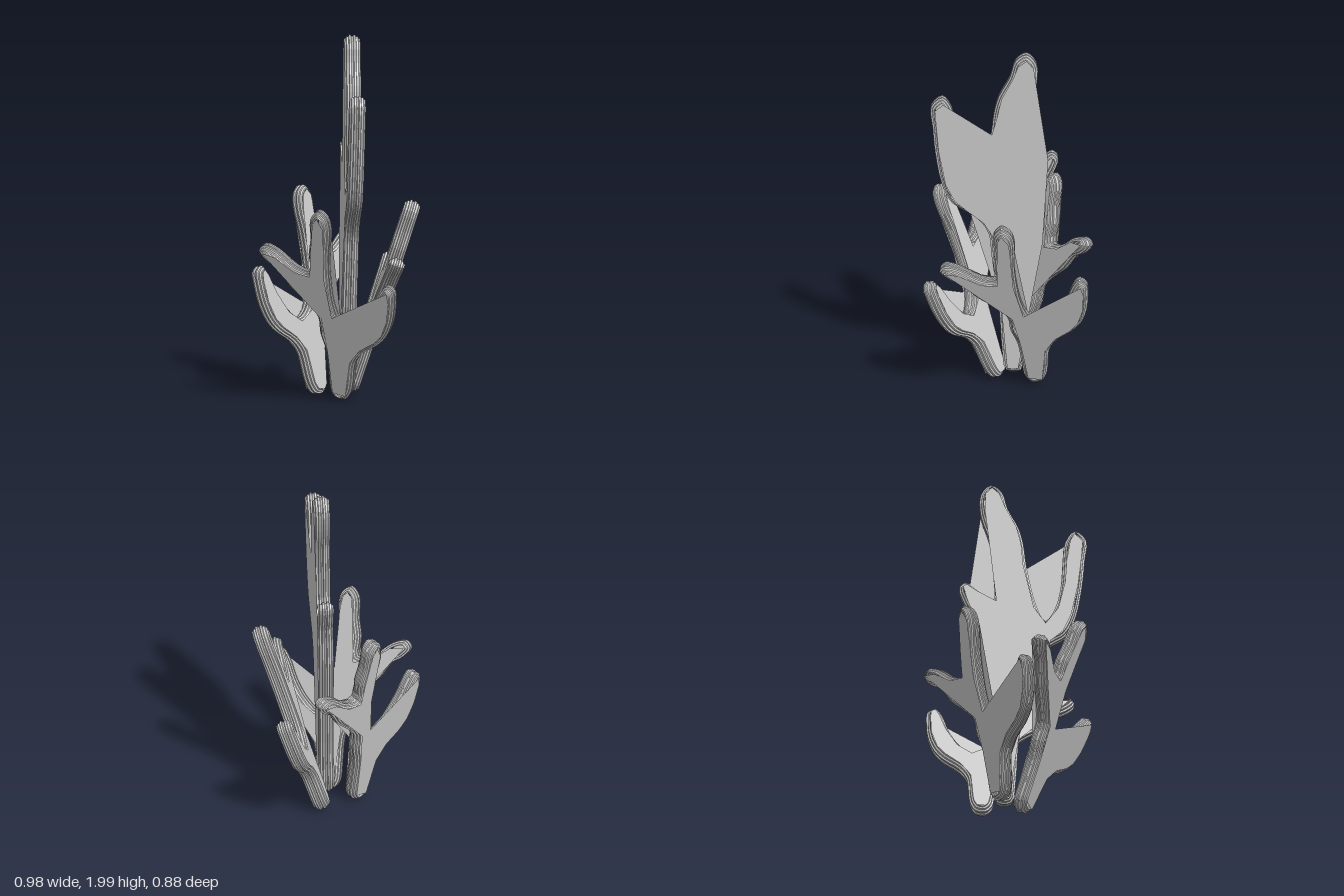
import * as THREE from 'three';

const V = (a) => new THREE.Vector3(...a);
const material = new THREE.MeshStandardMaterial({ color: 0xcccccc, flatShading: true, side: THREE.DoubleSide });

// Stepped edge section: [inset from outline, position through the thickness]
const half = [[-0.022, 0.044], [-0.019, 0.036], [-0.01, 0.032], [-0.009, 0.021], [0, 0.018], [0, 0.008], [-0.006, 0.004]];
const edgeSection = [...half.map(([o, d]) => [o, -d]), ...half.slice().reverse()];
const faceDepth = half[0][1];

// Outlines run anticlockwise from the left tip, measured from the root;
// the outer and inner faces are simpler polygons that cut across some hollows
const branch = {
  outline: [
    [-0.365, 0.885], [-0.4, 0.85], [-0.36, 0.79], [-0.3, 0.745], [-0.24, 0.645], [-0.16, 0.56], [-0.095, 0.47],
    [-0.095, 0.37], [-0.075, 0.27], [-0.08, 0.1], [-0.08, 0.02], [-0.05, -0.025], [0.005, -0.025], [0.04, 0.02],
    [0.06, 0.08], [0.09, 0.2], [0.145, 0.265], [0.24, 0.32], [0.3, 0.376], [0.35, 0.47], [0.378, 0.585],
    [0.382, 0.65], [0.343, 0.685], [0.3, 0.64], [0.245, 0.535], [0.17, 0.44], [0.09, 0.39], [0.025, 0.45],
    [0, 0.55], [0, 0.7], [0.015, 0.85], [0.045, 1.0], [0.035, 1.08], [-0.01, 1.118], [-0.06, 1.07],
    [-0.075, 0.95], [-0.1, 0.85], [-0.105, 0.745], [-0.19, 0.765], [-0.29, 0.855],
  ],
  outer: [
    [-0.375, 0.85], [-0.065, 0.47], [-0.055, 0.27], [-0.06, 0.02], [0.015, 0], [0.07, 0.21], [0.14, 0.29],
    [0.23, 0.34], [0.285, 0.39], [0.33, 0.48], [0.357, 0.595], [0.352, 0.655], [0, 0.48], [-0.015, 0.7],
    [0.02, 1.02], [-0.01, 1.09], [-0.04, 1.05], [-0.08, 0.85], [-0.1, 0.725], [-0.19, 0.745], [-0.3, 0.83],
  ],
  inner: [
    [-0.375, 0.85], [-0.07, 0.4], [-0.06, 0.02], [-0.045, -0.005], [0, -0.005], [0.025, 0.03], [0.07, 0.21],
    [0.14, 0.285], [0.23, 0.34], [0.285, 0.39], [0.33, 0.48], [0.357, 0.595], [0.36, 0.645], [0.34, 0.66],
    [0.315, 0.63], [0.26, 0.525], [0.18, 0.42], [0.09, 0.37], [0.01, 0.43], [0.025, 1.0], [0.015, 1.07],
    [-0.01, 1.093], [-0.04, 1.06], [-0.055, 0.95], [-0.09, 0.71], [-0.19, 0.745], [-0.29, 0.83],
  ],
};
const tall = {
  outline: [
    [-0.413, 1.67], [-0.475, 1.615], [-0.465, 1.49], [-0.45, 1.34], [-0.41, 1.14], [-0.355, 1.03], [-0.28, 0.98],
    [-0.2, 0.92], [-0.15, 0.84], [-0.135, 0.72], [-0.11, 0.54], [-0.085, 0.34], [-0.07, 0.14], [-0.045, 0.01],
    [0.035, 0.01], [0.075, 0.35], [0.125, 0.7], [0.155, 0.9], [0.165, 1.14], [0.2, 1.22], [0.225, 1.31],
    [0.19, 1.345], [0.14, 1.31], [0.04, 1.24], [0.035, 1.4], [0.055, 1.6], [0.1, 1.75], [0.1, 1.88],
    [0.045, 1.94], [-0.015, 1.9], [-0.045, 1.8], [-0.105, 1.68], [-0.13, 1.58], [-0.145, 1.45], [-0.2, 1.2],
    [-0.245, 1.12], [-0.3, 1.2], [-0.335, 1.35], [-0.345, 1.48], [-0.36, 1.6],
  ],
  outer: [
    [-0.41, 1.64], [-0.455, 1.6], [-0.43, 1.35], [-0.39, 1.15], [-0.34, 1.05], [-0.27, 0.99], [-0.18, 0.92],
    [-0.13, 0.84], [-0.115, 0.74], [-0.09, 0.54], [-0.04, 0.03], [0.02, 0.03], [0.145, 0.8], [0.17, 1.31],
    [0.085, 1.87], [0.045, 1.915], [0, 1.88], [-0.03, 1.8], [-0.09, 1.68], [-0.11, 1.58], [-0.14, 1.46],
  ],
  inner: [
    [-0.41, 1.645], [-0.455, 1.6], [-0.445, 1.49], [-0.425, 1.33], [-0.385, 1.15], [-0.34, 1.05], [-0.27, 0.99],
    [-0.09, 0.4], [-0.03, 0.03], [0.02, 0.03], [0.14, 0.85], [0.155, 1.15], [0.185, 1.23], [0.205, 1.31],
    [0.185, 1.325], [0.14, 1.29], [0.025, 1.225], [0.08, 1.78], [0.075, 1.88], [0.04, 1.915], [0, 1.88],
    [-0.03, 1.8], [-0.09, 1.68], [-0.115, 1.58], [-0.125, 1.45], [-0.18, 1.19], [-0.245, 1.095],
    [-0.315, 1.19], [-0.355, 1.35], [-0.365, 1.48], [-0.385, 1.6],
  ],
};

// Flat sheet through a list of points
function sheet(points, depth) {
  const shape = new THREE.Shape(points.map(([x, y]) => new THREE.Vector2(x, y)));
  return new THREE.ShapeGeometry(shape).translate(0, 0, depth);
}

// Smooth outline swept through the stepped section
function wall(outline) {
  const curve = new THREE.CatmullRomCurve3(outline.map(([x, y]) => new THREE.Vector3(x, y, 0)), true, 'centripetal');
  const points = curve.getPoints(120).slice(0, -1);
  const n = points.length;
  const normals = points.map((p, i) => {
    const t = points[(i + 1) % n].clone().sub(points[(i + n - 1) % n]).normalize();
    return new THREE.Vector3(t.y, -t.x, 0);
  });
  const pos = [], index = [];
  edgeSection.forEach(([offset, depth], k) => {
    points.forEach((p, i) => {
      pos.push(p.x + normals[i].x * offset, p.y + normals[i].y * offset, depth);
      if (k === 0) return;
      const j = (i + 1) % n, a = (k - 1) * n, b = k * n;
      index.push(a + i, a + j, b + j, a + i, b + j, b + i);
    });
  });
  const geo = new THREE.BufferGeometry();
  geo.setAttribute('position', new THREE.Float32BufferAttribute(pos, 3));
  geo.setIndex(index);
  geo.computeVertexNormals();
  return geo;
}

// One plate, placed by its root, a point above it, and its left and right tips
function plate(name, { outline, outer, inner }, [root, top, left, right]) {
  const group = new THREE.Group();
  group.name = name;
  const add = (part, geometry) => {
    const mesh = new THREE.Mesh(geometry, material);
    mesh.name = part;
    group.add(mesh);
  };
  add('steppedEdge', wall(outline));
  add('outerFace', sheet(outer, faceDepth));
  add('innerFace', sheet(inner, -faceDepth));

  const v = V(top).sub(V(root)).normalize();
  const u = V(right).sub(V(left));
  u.addScaledVector(v, -u.dot(v)).normalize();
  const w = u.clone().cross(v);
  group.applyMatrix4(new THREE.Matrix4().makeBasis(u, v, w).setPosition(...root));
  return group;
}

export function createModel() {
  const model = new THREE.Group();
  model.name = 'coral';
  model.add(
    plate('tallPlate', tall,
      [[0.029, 0.06, -0.09], [0.071, 2, -0.09], [-0.16, 1.72, 0.26], [0.16, 1.38, -0.27]]),
    plate('leftBranch', branch,
      [[0.135, 0.05, -0.19], [0.3, 1.05, 0.14], [0.06, 0.79, 0.34], [0.45, 0.71, -0.26]]),
    plate('backBranch', branch,
      [[-0.12, 0.05, -0.19], [-0.065, 1.1, -0.39], [0.28, 0.88, -0.39], [-0.45, 0.71, -0.265]]),
    plate('rightBranch', branch,
      [[-0.04, 0.04, 0], [-0.325, 1.05, 0.167], [-0.46, 0.86, -0.2], [-0.05, 0.63, 0.38]]),
  );
  return model;
}
